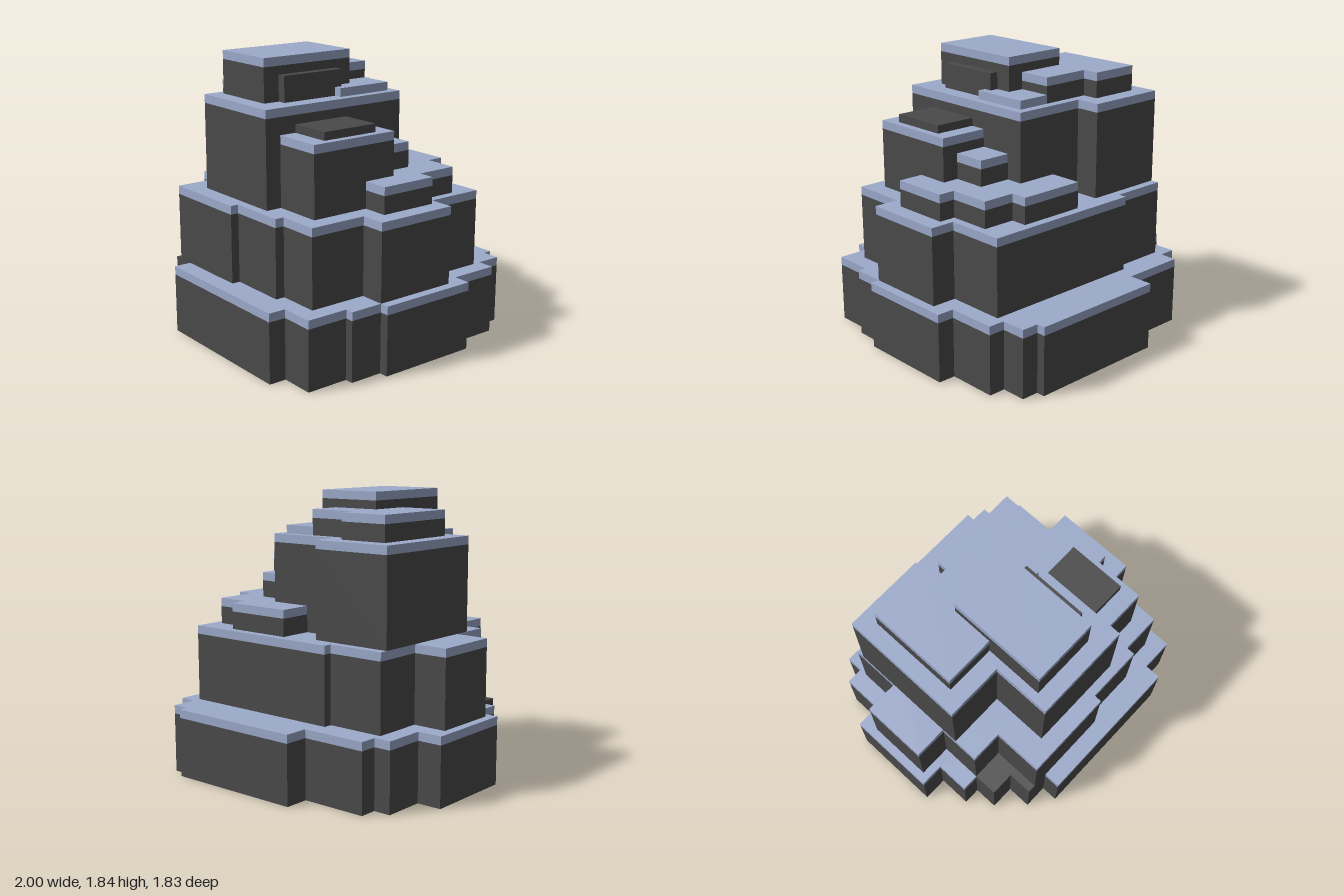
import * as THREE from 'three';

const rock = new THREE.MeshStandardMaterial({ color: 0x4a4a4a });
rock.name = 'dark rock';
const snow = new THREE.MeshStandardMaterial({ color: 0x9caacb });
snow.name = 'pale blue snow';

const CAP = 0.055; // thickness of every snow layer

// Vertical prism over a plan outline of [x, z] corners
function slab(name, outline, y0, y1, material) {
  const shape = new THREE.Shape(outline.map(([x, z]) => new THREE.Vector2(x, -z)));
  const geometry = new THREE.ExtrudeGeometry(shape, { depth: y1 - y0, bevelEnabled: false });
  geometry.rotateX(-Math.PI / 2).translate(0, y0, 0);
  const mesh = new THREE.Mesh(geometry, material);
  mesh.name = name;
  return mesh;
}

const rect = (x0, x1, z0, z1) => [[x0, z0], [x1, z0], [x1, z1], [x0, z1]];

// Rock block with a flush layer of snow on top
function ledge(name, outline, y0, y1, capOutline = outline) {
  const group = new THREE.Group();
  group.name = name;
  if (y1 - CAP > y0 + 0.001) group.add(slab(name + 'Rock', outline, y0, y1 - CAP, rock));
  group.add(slab(name + 'Snow', capOutline, y1 - CAP, y1, snow));
  return group;
}

export function createModel() {
  const model = new THREE.Group();
  model.name = 'snowyRock';

  // Base tier: the snow leaves one front corner bare
  const baseRim = [
    [-0.835, 0.47], [-0.835, 0.245], [-1, 0.245], [-1, -0.365], [-0.835, -0.365],
    [-0.835, -0.64], [-0.72, -0.64], [-0.72, -0.755], [-0.28, -0.755], [-0.28, -0.917],
    [0.66, -0.917], [0.66, -0.86], [0.775, -0.86], [0.775, -0.695], [0.885, -0.695],
    [0.885, -0.365], [1, -0.365], [1, 0.305], [0.94, 0.305], [0.94, 0.525],
    [0.885, 0.525], [0.885, 0.803], [0.66, 0.803], [0.66, 0.917], [-0.39, 0.917],
  ];
  const bareStep = [[-0.39, 0.803], [-0.555, 0.803], [-0.555, 0.635], [-0.72, 0.635], [-0.72, 0.47]];
  model.add(ledge('baseTier', [...baseRim, ...bareStep], 0, 0.445,
    [...baseRim, [-0.39, 0.47], [-0.72, 0.47]]));
  model.add(slab('bareCorner', [...bareStep, [-0.39, 0.47]], 0.445 - CAP, 0.445, rock));

  // Second tier
  model.add(ledge('middleTier', [
    [-0.335, -0.64], [0.775, -0.64], [0.775, -0.25], [0.94, -0.25], [0.94, 0.305],
    [0.775, 0.305], [0.775, 0.69], [0.5, 0.69], [0.5, 0.75], [0.11, 0.75],
    [0.11, 0.803], [-0.5, 0.803], [-0.5, 0.47], [-0.72, 0.47], [-0.72, 0.192],
    [-0.945, 0.192], [-0.945, -0.25], [-0.72, -0.25], [-0.72, -0.585], [-0.335, -0.585],
  ], 0.445, 0.945));

  // Third tier, the tall core
  model.add(ledge('upperTier', [
    [-0.72, -0.53], [-0.17, -0.53], [-0.17, -0.365], [0.33, -0.365],
    [0.33, 0.69], [-0.335, 0.69], [-0.335, 0.303], [-0.72, 0.303],
  ], 0.945, 1.56));

  // Stepped ledges on the left side of the core
  model.add(ledge('lowSideLedge', [
    [0.05, -0.585], [0.5, -0.585], [0.5, -0.475], [0.72, -0.475], [0.72, -0.195],
    [0.83, -0.195], [0.83, 0.192], [0.05, 0.192],
  ], 0.945, 1.115));
  model.add(ledge('midSideLedge', rect(0.33, 0.55, -0.25, -0.028), 0.945, 1.28));
  model.add(ledge('highSideLedge', rect(0.33, 0.66, -0.028, 0.585), 0.945, 1.395));
  model.add(slab('sideLedgeStone', rect(0.33, 0.61, 0.08, 0.472), 1.395, 1.447, rock));

  // Summit blocks
  model.add(ledge('rearSummit', [
    [-0.615, -0.418], [-0.28, -0.418], [-0.28, -0.307], [0.05, -0.307],
    [0.05, 0.192], [-0.615, 0.192],
  ], 1.56, 1.725));
  model.add(ledge('summitDrift', rect(0.05, 0.275, -0.307, 0.08), 1.56, 1.615));
  model.add(ledge('peak', rect(-0.28, 0.163, -0.083, 0.582), 1.56, 1.835));
  model.add(slab('peakSideStone', rect(0.163, 0.22, 0.027, 0.472), 1.56, 1.725, rock));

  return model;
}
